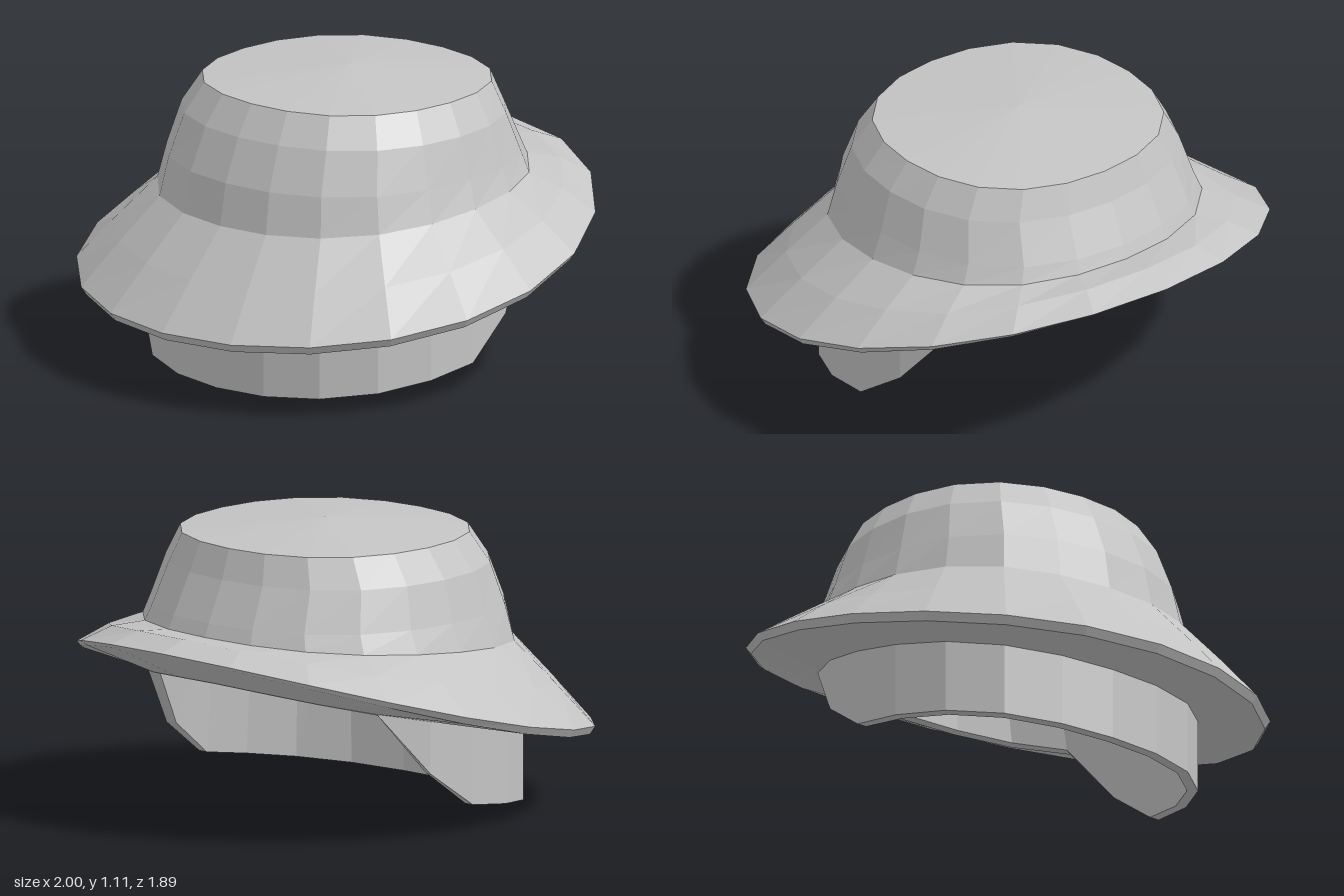
import * as THREE from 'three';

const SEG = 20;

// Ring of points around y, starting at the front (+z); y is a number or a rule of angle,
// bulge pushes the diagonals out for a slightly squarish oval
function ring(rx, rz, cz, y, bulge = 0.04) {
  return Array.from({ length: SEG + 1 }, (_, j) => {
    const a = (j % SEG) / SEG * Math.PI * 2;
    const k = 1 + bulge * Math.sin(2 * a) ** 2;
    return new THREE.Vector3(k * rx * Math.sin(a), typeof y === 'function' ? y(a, j % SEG) : y, cz + k * rz * Math.cos(a));
  });
}

// Skin between successive rings, skipping collapsed triangles
function loft(name, rings, material) {
  const pos = [];
  const tri = (a, b, c) => {
    const area = b.clone().sub(a).cross(c.clone().sub(a)).length();
    if (area > 1e-7) for (const p of [a, b, c]) pos.push(p.x, p.y, p.z);
  };
  for (let i = 0; i < rings.length - 1; i++) {
    for (let j = 0; j < SEG; j++) {
      const a = rings[i][j], b = rings[i][j + 1], c = rings[i + 1][j], d = rings[i + 1][j + 1];
      tri(a, c, b);
      tri(b, c, d);
    }
  }
  const g = new THREE.BufferGeometry();
  g.setAttribute('position', new THREE.Float32BufferAttribute(pos, 3));
  g.computeVertexNormals(); // unshared corners give flat facets
  const mesh = new THREE.Mesh(g, material);
  mesh.name = name;
  return mesh;
}

export function createModel() {
  const group = new THREE.Group();
  group.name = 'hat';
  const grey = new THREE.MeshStandardMaterial({ color: 0xc4c4c4 });
  grey.name = 'grey felt';

  // Height rules: everything climbs towards the back
  const baseY = a => 0.685 - 0.06 * Math.cos(a);
  const rimY = a => {
    const z = 0.945 * Math.cos(a);
    return 0.44 - 0.235 * z + 0.064 * z * z;
  };
  const back = a => (1 - Math.cos(a)) / 2;

  // Crown: shallow cone top, then tapering walls
  const base = ring(0.68, 0.67, -0.04, baseY);
  group.add(loft('crown', [
    ring(0, 0, -0.06, 1.108),
    ring(0.53, 0.52, -0.06, 1.065),
    ring(0.6, 0.575, -0.043, 0.95),
    ring(0.645, 0.645, -0.045, a => 0.79 - 0.005 * Math.cos(a)),
    base,
  ], grey));

  // Brim: sloping top with a raised back, thin rim and nearly flat underside
  const rim = ring(1, 0.945, 0, rimY, 0);
  const mid = ring(0.84, 0.81, -0.02, a => (baseY(a) + rimY(a)) / 2 + 0.025 * back(a) ** 3, 0.02);
  const rimUnder = ring(0.98, 0.925, 0, a => rimY(a) - 0.031 + 0.018 * back(a) ** 4, 0);
  const underY = a => {
    const z = 0.65 * Math.cos(a);
    return 0.4 - 0.215 * z + 0.047 * z * z;
  };
  const under = ring(0.705, 0.65, 0, underY);
  group.add(loft('brim', [base, mid, rim, rimUnder, under], grey));

  // Head band: deep at the front, swept up to the brim behind the sides
  const bandY = (a, j) => {
    const k = Math.min(j, SEG - j);
    if (k <= 5) return 0.1 * (1 - Math.cos(a));
    return k === 6 ? 0.245 : k === 7 ? 0.485 : underY(a) - 0.002;
  };
  const bandOuter = ring(0.705, 0.65, 0, bandY);
  const bandInner = ring(0.665, 0.61, 0, bandY);
  group.add(loft('headBand', [under, bandOuter, bandInner], grey));

  // Hollow inside: wall and ceiling
  group.add(loft('lining', [
    bandInner,
    ring(0.58, 0.56, -0.03, 0.89),
    ring(0, 0, -0.03, 0.89),
  ], grey));

  return group;
}
